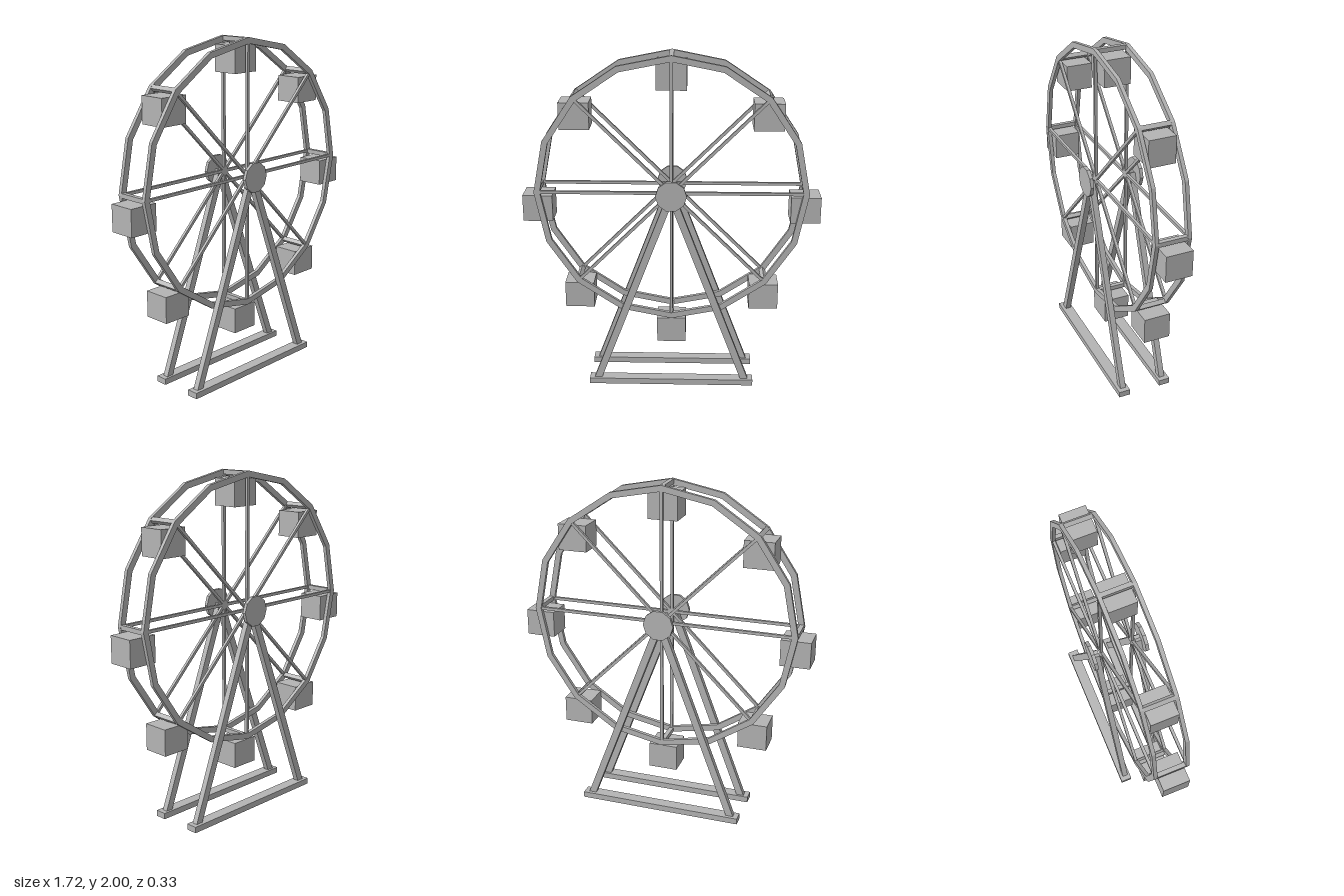
import * as THREE from 'three';

const HUB_Y = 1.21;
const RIM_R = 0.775;

const grey = new THREE.MeshStandardMaterial({ color: 0xb4b4b4, flatShading: true, side: THREE.DoubleSide });
grey.name = 'steel grey';

function add(parent, name, geometry, x = 0, y = 0, z = 0, turn = 0) {
  const mesh = new THREE.Mesh(geometry, grey);
  mesh.name = name;
  mesh.position.set(x, y, z);
  mesh.rotation.z = turn;
  parent.add(mesh);
  return mesh;
}

// Box with its underside left open
function openBox(w, h, d) {
  const box = new THREE.BoxGeometry(w, h, d);
  const index = Array.from(box.index.array);
  index.splice(18, 6);
  box.setIndex(index);
  box.clearGroups();
  return box;
}

// Sixteen-sided ring of rectangular section, lying in the xy plane
function ringGeometry(inner, outer, depth) {
  const h = depth / 2;
  const profile = [[inner, -h], [outer, -h], [outer, h], [inner, h], [inner, -h]];
  const ring = new THREE.LatheGeometry(profile.map(([r, y]) => new THREE.Vector2(r, y)), 16);
  return ring.rotateX(Math.PI / 2);
}

export function createModel() {
  const model = new THREE.Group();
  model.name = 'ferrisWheel';

  // Wheel
  const wheel = new THREE.Group();
  wheel.name = 'wheel';
  wheel.position.y = HUB_Y;
  model.add(wheel);
  const rim = ringGeometry(0.755, 0.79, 0.022);
  const spoke = new THREE.BoxGeometry(RIM_R * 2, 0.017, 0.017);
  for (const side of [1, -1]) {
    add(wheel, 'rim', rim, 0, 0, side * 0.094);
    for (let i = 0; i < 4; i++) add(wheel, 'spokePair', spoke, 0, 0, side * 0.094, i * Math.PI / 4);
  }

  // Cross bars between the rims, with a hanging cabin at each
  const crossBar = new THREE.BoxGeometry(0.026, 0.026, 0.18);
  const cabin = openBox(0.172, 0.155, 0.156);
  for (let i = 0; i < 8; i++) {
    const a = i * Math.PI / 4;
    const x = RIM_R * Math.cos(a), y = RIM_R * Math.sin(a);
    add(wheel, 'crossBar', crossBar, x, y, 0, a);
    add(wheel, 'cabin', cabin, x, y - 0.106, 0);
  }

  // Supports: a base beam, two leaning legs and a hub plate on each side
  const foot = new THREE.Vector2(0.447, 0.025);
  const legLength = Math.hypot(foot.x, HUB_Y - foot.y);
  const lean = Math.atan2(foot.x, HUB_Y - foot.y);
  const leg = new THREE.BoxGeometry(0.042, legLength, 0.034);
  const beam = openBox(0.99, 0.036, 0.068);
  const hub = new THREE.CylinderGeometry(0.09, 0.09, 0.02, 10)
    .rotateY(Math.PI / 2).rotateX(Math.PI / 2);
  for (const side of [1, -1]) {
    const support = new THREE.Group();
    support.name = side > 0 ? 'frontSupport' : 'backSupport';
    model.add(support);
    add(support, 'baseBeam', beam, 0, 0.018, side * 0.131);
    for (const s of [1, -1]) {
      add(support, 'leg', leg, s * foot.x / 2, (HUB_Y + foot.y) / 2, side * 0.128, s * lean);
    }
    add(support, 'hubPlate', hub, 0, HUB_Y, side * 0.154);
  }
  return model;
}
